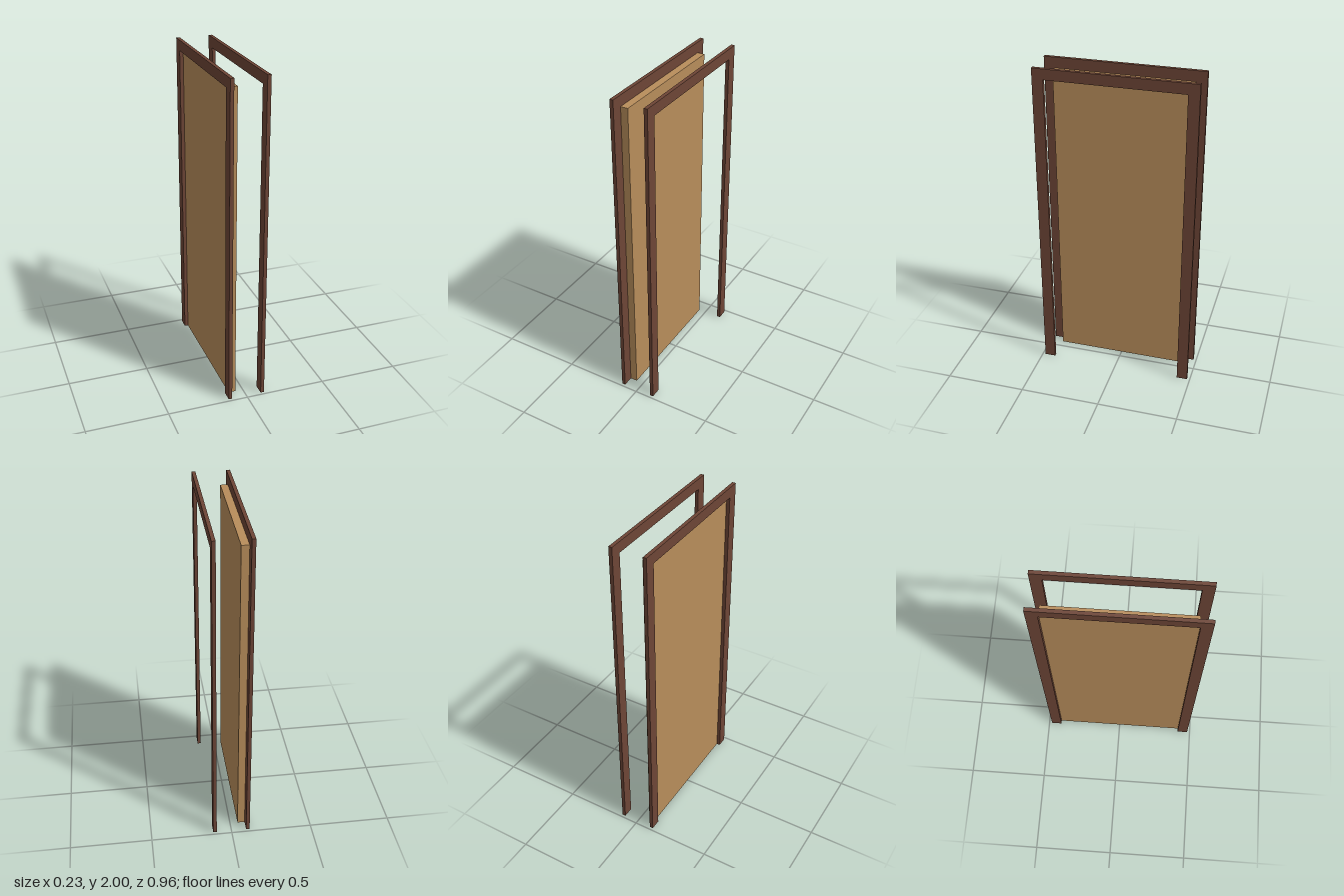
import * as THREE from 'three';

const H = 2, HALF_W = 0.482;            // casing outer height and half width
const OPEN_H = 1.935, OPEN_HALF = 0.415; // opening
const TRIM = 0.022;                      // casing thickness
const OUTER = 0.115;                     // outer face distance from the centre

const wood = new THREE.MeshStandardMaterial({ color: 0x6d4536 });
const panel = new THREE.MeshStandardMaterial({ color: 0xb88d5b });

// U-shaped door casing standing in the z-y plane
function casing(name, x) {
  const s = new THREE.Shape([
    [-HALF_W, 0], [-OPEN_HALF, 0], [-OPEN_HALF, OPEN_H], [OPEN_HALF, OPEN_H],
    [OPEN_HALF, 0], [HALF_W, 0], [HALF_W, H], [-HALF_W, H],
  ].map(([a, b]) => new THREE.Vector2(a, b)));
  const g = new THREE.ExtrudeGeometry(s, { depth: TRIM, bevelEnabled: false });
  g.translate(0, 0, -TRIM / 2);
  g.rotateY(Math.PI / 2);
  const m = new THREE.Mesh(g, wood);
  m.name = name;
  m.position.x = x;
  return m;
}

export function createModel() {
  const group = new THREE.Group();
  group.name = 'door';

  // Casings on both sides of the wall
  const cx = OUTER - TRIM / 2;
  group.add(casing('leftCasing', cx), casing('rightCasing', -cx));

  // Door leaf resting against the inner face of one casing
  const x0 = -OUTER + TRIM, x1 = -0.048;
  const leaf = new THREE.Mesh(new THREE.BoxGeometry(x1 - x0, OPEN_H, OPEN_HALF * 2), panel);
  leaf.name = 'doorLeaf';
  leaf.position.set((x0 + x1) / 2, OPEN_H / 2, 0);
  group.add(leaf);

  return group;
}
